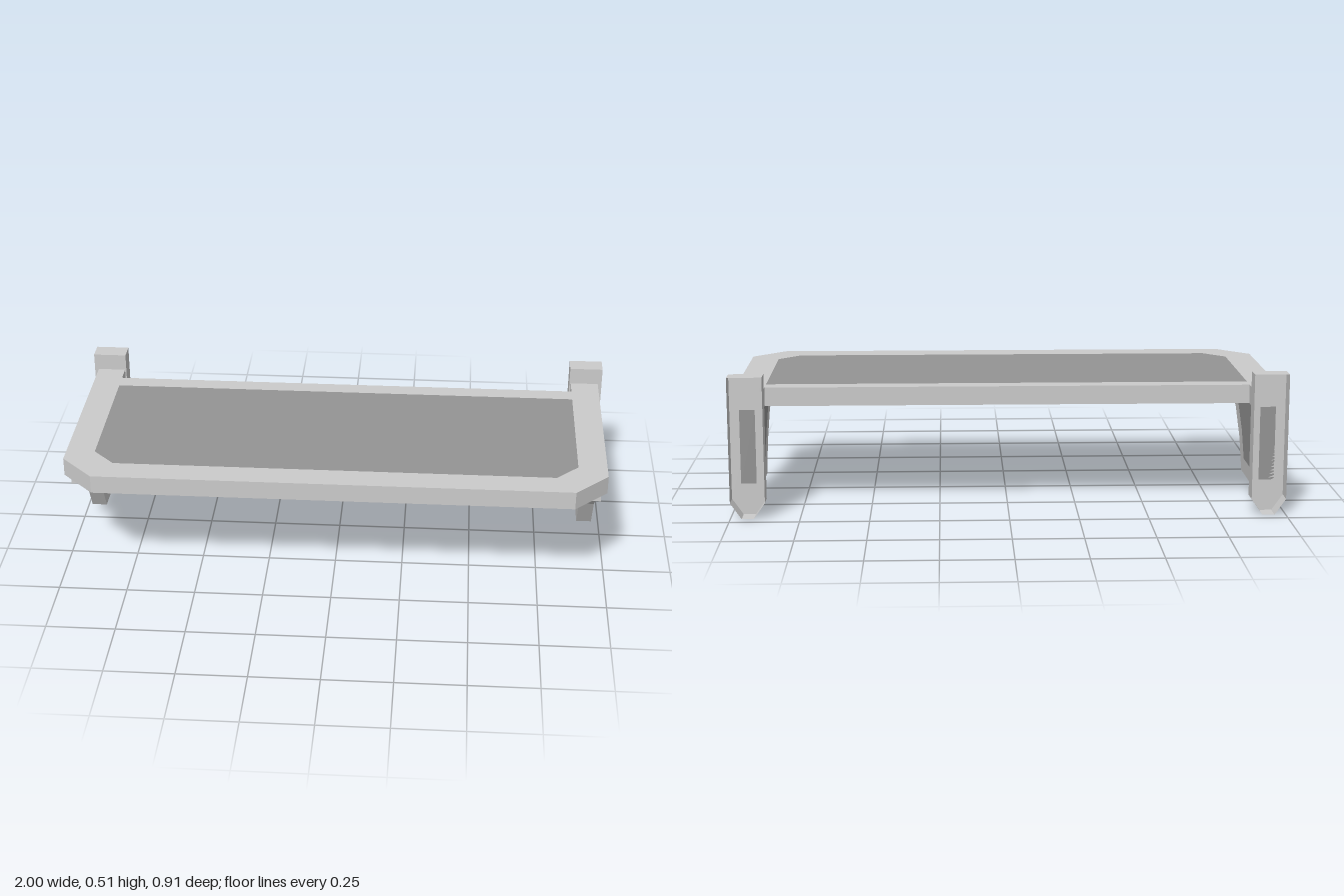
import * as THREE from 'three';

const frameMat = new THREE.MeshStandardMaterial({ color: 0xcccccc, flatShading: true, side: THREE.DoubleSide });
const panelMat = new THREE.MeshStandardMaterial({ color: 0x949494, flatShading: true, side: THREE.DoubleSide });

const toPoints = (pairs) => pairs.map(([a, b]) => new THREE.Vector2(a, b));

function extrude(pairs, depth, hole) {
  const shape = new THREE.Shape(toPoints(pairs));
  if (hole) shape.holes.push(new THREE.Path(toPoints(hole)));
  return new THREE.ExtrudeGeometry(shape, { depth, bevelEnabled: false });
}

function add(parent, name, geometry, material) {
  const mesh = new THREE.Mesh(geometry, material);
  mesh.name = name;
  parent.add(mesh);
  return mesh;
}

// Completes a half outline (x > 0) with its mirror image
const mirrored = (half) => [...half, ...half.map(([x, y]) => [-x, y]).reverse()];

// Shelf board: plan outlines in x, z, extruded downwards
function createShelf() {
  const shelf = new THREE.Group();
  shelf.name = 'shelf';
  const outline = mirrored([[0.88, -0.315], [0.88, -0.385], [0.985, -0.385], [0.985, 0.335], [0.865, 0.455]]);
  const inset = mirrored([[0.88, -0.25], [0.88, 0.275], [0.8, 0.355]]);
  const lay = (geometry) => geometry.rotateX(Math.PI / 2).translate(0, 0.452, 0);
  add(shelf, 'shelfFrame', lay(extrude(outline, 0.068, inset)), frameMat);
  add(shelf, 'shelfPanel', lay(extrude(inset, 0.068)), panelMat);
  return shelf;
}

// Wall post: pointed at the foot, hollow and open towards the wall
function createPostGeometry() {
  const outline = mirrored([[0.0625, 0.515], [0.0625, 0.058], [0.022, 0]]);
  const geometry = extrude(outline, 0.07);
  const backCap = (outline.length - 2) * 3; // rear cap comes first in the buffer
  const open = new THREE.BufferGeometry();
  for (const key of ['position', 'normal', 'uv']) {
    const { array, itemSize } = geometry.attributes[key];
    open.setAttribute(key, new THREE.BufferAttribute(array.slice(backCap * itemSize), itemSize));
  }
  return open.translate(0, 0, -0.455);
}

// Bracket: side profiles in z, y, extruded across x
function createSupport(x) {
  const support = new THREE.Group();
  support.name = x > 0 ? 'leftSupport' : 'rightSupport';
  const outer = [[0.32, 0.384], [0.32, 0.34], [0.17, 0.273], [0.063, 0.174], [0, 0.058], [-0.385, 0.058]];
  const inner = [[0.25, 0.384], [0.25, 0.367], [0.12, 0.31], [0.008, 0.212], [-0.05, 0.114], [-0.385, 0.114]];
  const width = 0.056;
  const turn = (geometry) => geometry.rotateY(-Math.PI / 2).translate(width / 2, 0, 0);
  add(support, 'bracketRim', turn(extrude([...outer, ...[...inner].reverse()], width)), frameMat);
  add(support, 'bracketPanel', turn(extrude([...inner, [-0.385, 0.384]], width)), panelMat);
  add(support, 'wallPost', createPostGeometry(), frameMat);
  support.position.x = x;
  return support;
}

export function createModel() {
  const model = new THREE.Group();
  model.name = 'wallShelf';
  model.add(createShelf());
  for (const side of [-1, 1]) model.add(createSupport(side * 0.9375));
  return model;
}
